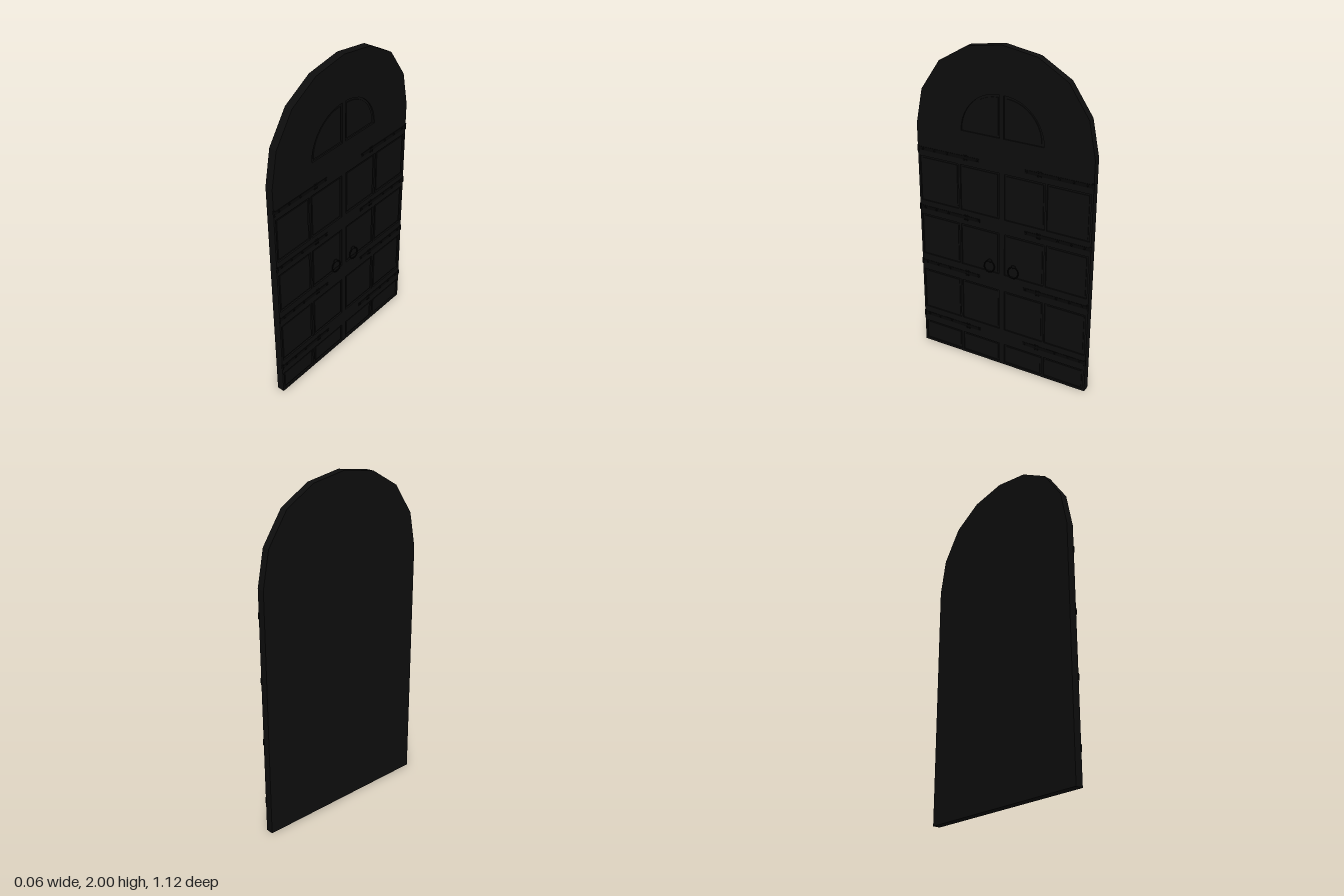
import * as THREE from 'three';

const wood = new THREE.MeshStandardMaterial({ color: 0x0d0d0d, flatShading: true });
const iron = new THREE.MeshStandardMaterial({ color: 0x060606 });
const BACK = -0.033, FLOOR = 0.004, FACE = 0.013;

// Closed path from [across, up] points
const trace = (path, pts) => {
  pts.forEach(([u, v], i) => (i ? path.lineTo(u, v) : path.moveTo(u, v)));
  path.closePath();
  return path;
};

// Corner points of a rectangular panel, drawn in by d
const rect = (u0, u1, v0, v1, d = 0) =>
  [[u0 + d, v0 + d], [u1 - d, v0 + d], [u1 - d, v1 - d], [u0 + d, v1 - d]];

// Corner points of a quarter-round panel, drawn in by d
const quarter = (s, d = 0) => {
  const pts = [[s * (0.013 + d), 1.48 + d]];
  for (let i = 0; i <= 10; i++) {
    const a = (i / 10) * Math.PI / 2;
    pts.push([s * (0.013 + d + (0.247 - 2.4 * d) * Math.cos(a)), 1.48 + d + (0.247 - 2.4 * d) * Math.sin(a)]);
  }
  return pts;
};

export function createModel() {
  const root = new THREE.Group();
  root.name = 'archedDoubleDoor';

  const add = (name, geo, mat, x = 0, y = 0, z = 0, parent = root) => {
    const m = new THREE.Mesh(geo, mat);
    m.name = name;
    m.position.set(x, y, z);
    parent.add(m);
    return m;
  };

  // Slab of a shape between two depths, turned to face +x
  const slab = (name, shape, x0, x1) => {
    const geo = new THREE.ExtrudeGeometry(shape, { depth: x1 - x0, bevelEnabled: false });
    geo.rotateY(Math.PI / 2);
    return add(name, geo, wood, x0);
  };

  // Faceted arch outline
  const half = [[0.557, 0], [0.557, 1.47], [0.515, 1.68], [0.393, 1.86], [0.215, 1.965]];
  const outline = [...half, [0, 2], ...half.map(([u, v]) => [-u, v]).reverse()];

  // Panel layout: four rows, two columns per leaf, plus quarter-round lights
  const rows = [[0.015, 0.145], [0.25, 0.52], [0.63, 0.898], [0.99, 1.273]];
  const columns = [[0.017, 0.272], [0.284, 0.545]];
  const panels = [];
  for (const s of [-1, 1]) {
    panels.push(d => quarter(s, d));
    for (const [v0, v1] of rows)
      for (const [a, b] of columns)
        panels.push(d => rect(Math.min(s * a, s * b), Math.max(s * a, s * b), v0, v1, d));
  }

  // Backing board and pierced front frame
  slab('backBoard', trace(new THREE.Shape(), outline), BACK, FLOOR);
  const frame = trace(new THREE.Shape(), outline);
  panels.forEach(p => frame.holes.push(trace(new THREE.Path(), p(0))));
  slab('frontFrame', frame, FLOOR, FACE);

  // Fields set inside a groove in each opening
  panels.forEach(p => slab('panelField', trace(new THREE.Shape(), p(0.012)), FLOOR, 0.009));

  // Strap hinges with rivets and a barrel at the door edge
  const rivet = new THREE.SphereGeometry(0.006, 8, 6).scale(0.9, 1, 1);
  const barrel = new THREE.CylinderGeometry(0.006, 0.006, 0.036, 8);
  const strap = new THREE.BoxGeometry(0.004, 0.022, 0.41);
  for (const s of [-1, 1]) {
    for (const y of [0.2, 0.575, 0.945, 1.32]) {
      const hinge = new THREE.Group();
      hinge.name = 'strapHinge';
      hinge.position.y = y;
      root.add(hinge);
      add('strap', strap, iron, 0.0135, 0, s * 0.35, hinge);
      add('hingeBarrel', barrel, iron, 0.013, 0, s * 0.554, hinge);
      for (const z of [0.52, 0.442, 0.357, 0.157])
        add('rivet', rivet, iron, 0.0155, 0, s * z, hinge);
      for (const dy of [-0.012, 0.012])
        for (const dz of [-0.008, 0.008])
          add('crossRivet', rivet, iron, 0.0145, dy, s * (0.236 + dz), hinge);
    }

    // Ring pull, hanging slightly away from the door
    const pull = new THREE.Group();
    pull.name = 'ringPull';
    pull.position.set(0.015, 0.704, s * 0.079);
    root.add(pull);
    add('ringMount', new THREE.SphereGeometry(0.011, 12, 8).scale(0.6, 1, 1.3), iron, 0, 0, 0, pull);
    const ring = new THREE.TorusGeometry(0.034, 0.004, 8, 24).rotateY(Math.PI / 2).translate(0, -0.036, 0);
    add('ring', ring, iron, 0.002, 0, 0, pull).rotation.z = 0.13;
  }
  return root;
}
